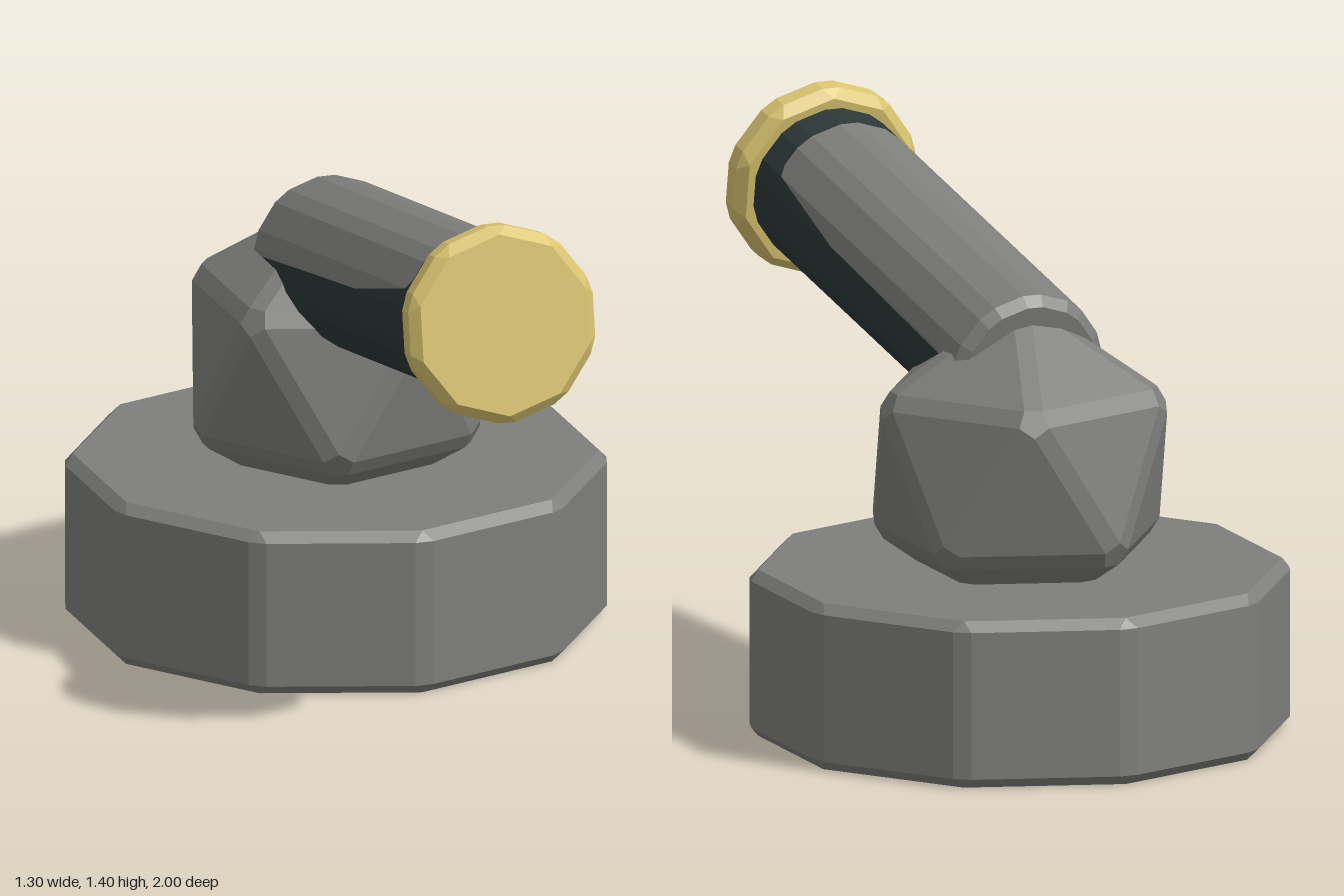
import * as THREE from 'three';
import { ConvexGeometry } from 'three/addons/geometries/ConvexGeometry.js';

const SIDES = 10, BEVEL = 0.025;
const corner = (r, i) => new THREE.Vector2(Math.sin(i * Math.PI * 2 / SIDES) * r, Math.cos(i * Math.PI * 2 / SIDES) * r);

// The two ends of one flat side of a decagon, pulled in from the corners
function sideEnds(r, i) {
  const a = corner(r, i), b = corner(r, i + 1), t = BEVEL / a.distanceTo(b);
  return [a.clone().lerp(b, t), b.clone().lerp(a, t)];
}

// Decagonal prism with all edges bevelled, standing on y = 0
function bevelledPrism(r, h) {
  const pts = [];
  const inner = r - BEVEL / Math.cos(Math.PI / SIDES);
  for (let i = 0; i < SIDES; i++) {
    const c = corner(inner, i);
    pts.push(new THREE.Vector3(c.x, 0, c.y), new THREE.Vector3(c.x, h, c.y));
    for (const p of sideEnds(r, i))
      for (const y of [BEVEL, h - BEVEL]) pts.push(new THREE.Vector3(p.x, y, p.y));
  }
  return new ConvexGeometry(pts);
}

// Icosahedron with a corner up and bevelled edges: each face shrinks to its centre
function bevelledIcosahedron(r, shrink) {
  const ring = (y, start) => Array.from({ length: 5 }, (_, i) => {
    const a = start + i * Math.PI * 0.4;
    return new THREE.Vector3(Math.cos(a) * 0.8944, y, Math.sin(a) * 0.8944).multiplyScalar(r);
  });
  const up = ring(0.4472, 0), low = ring(-0.4472, Math.PI / 5);
  const top = new THREE.Vector3(0, r, 0), bottom = new THREE.Vector3(0, -r, 0);
  const pts = [];
  for (let i = 0; i < 5; i++) {
    const j = (i + 1) % 5;
    const faces = [[top, up[i], up[j]], [bottom, low[i], low[j]], [up[i], up[j], low[i]], [low[i], low[j], up[j]]];
    for (const f of faces) {
      const mid = f[0].clone().add(f[1]).add(f[2]).divideScalar(3);
      for (const p of f) pts.push(p.clone().lerp(mid, shrink));
    }
  }
  return new ConvexGeometry(pts);
}

// Where the grey upper casing ends along the barrel, by height above the axis
const EDGE = [[0.025, -1.295], [0.03, -1.1], [0.043, -0.34], [0.055, -0.23], [0.07, -0.18], [0.107, -0.147], [0.21, -0.145]];
function casingEnd(v) {
  if (v <= EDGE[0][0]) return EDGE[0][1];
  for (let i = 1; i < EDGE.length; i++) {
    const [v0, s0] = EDGE[i - 1], [v1, s1] = EDGE[i];
    if (v <= v1) return s0 + (s1 - s0) * (v - v0) / (v1 - v0);
  }
  return EDGE[EDGE.length - 1][1];
}

// Barrel along local y, as a grey and a dark surface
function barrelGeometries(r) {
  const rear = -1.32, body = rear + BEVEL, front = 0;
  const k = 1 - BEVEL / r;
  const grey = [], dark = [];
  const quad = (out, a, b, c, d) => out.push(...a, ...b, ...c, ...a, ...c, ...d);
  const at = (p, y, f = 1) => [p.x * f, y, p.y * f];
  const strip = (p, q, allGrey) => {
    const sp = allGrey ? front : casingEnd(-p.y), sq = allGrey ? front : casingEnd(-q.y);
    quad(grey, at(p, body), at(q, body), at(q, sq), at(p, sp));
    quad(dark, at(p, sp), at(q, sq), at(q, front), at(p, front));
    // Rear bevel and end face
    quad(grey, at(p, rear, k), at(q, rear, k), at(q, body), at(p, body));
    grey.push(0, rear, 0, ...at(q, rear, k), ...at(p, rear, k));
  };
  for (let i = 0; i < SIDES; i++) {
    const [a, b] = sideEnds(r, i), next = sideEnds(r, i + 1)[0];
    const N = 12;
    for (let n = 0; n < N; n++)
      strip(a.clone().lerp(b, n / N), a.clone().lerp(b, (n + 1) / N), i === 0);
    strip(b, next, i === SIDES - 1);
  }
  return [grey, dark].map(list => {
    const g = new THREE.BufferGeometry();
    g.setAttribute('position', new THREE.Float32BufferAttribute(dropEmpty(list), 3));
    g.computeVertexNormals();
    return g;
  });
}

// Leave out triangles with no area
function dropEmpty(list) {
  const out = [], t = new THREE.Triangle();
  for (let i = 0; i < list.length; i += 9) {
    t.a.fromArray(list, i); t.b.fromArray(list, i + 3); t.c.fromArray(list, i + 6);
    if (t.getArea() > 1e-8) out.push(...list.slice(i, i + 9));
  }
  return out;
}

export function createModel() {
  const material = (name, color) => {
    const m = new THREE.MeshStandardMaterial({ color });
    m.name = name;
    return m;
  };
  const grey = material('grey metal', 0x7e7e7c);
  const dark = material('dark metal', 0x2d3838);
  const gold = material('gold', 0xdac470);

  const model = new THREE.Group();
  model.name = 'turret';
  const add = (parent, name, geometry, mat, x = 0, y = 0, z = 0) => {
    const mesh = new THREE.Mesh(geometry, mat);
    mesh.name = name;
    mesh.position.set(x, y, z);
    parent.add(mesh);
  };

  add(model, 'base', bevelledPrism(0.682, 0.425), grey, 0, 0, -0.325);
  add(model, 'swivelHead', bevelledIcosahedron(0.43, 0.19), grey, 0, 0.685, -0.325);

  // Barrel and its muzzle cap, tilted up by ten degrees
  const gun = new THREE.Group();
  gun.name = 'gun';
  gun.position.set(0, 1.152, 0.911);
  gun.rotation.x = THREE.MathUtils.degToRad(80);
  const [casing, lining] = barrelGeometries(0.21);
  add(gun, 'barrelCasing', casing, grey);
  add(gun, 'barrelDarkBand', lining, dark);
  add(gun, 'muzzleCap', bevelledPrism(0.256, 0.096), gold, 0, -0.048, 0);
  model.add(gun);

  return model;
}
